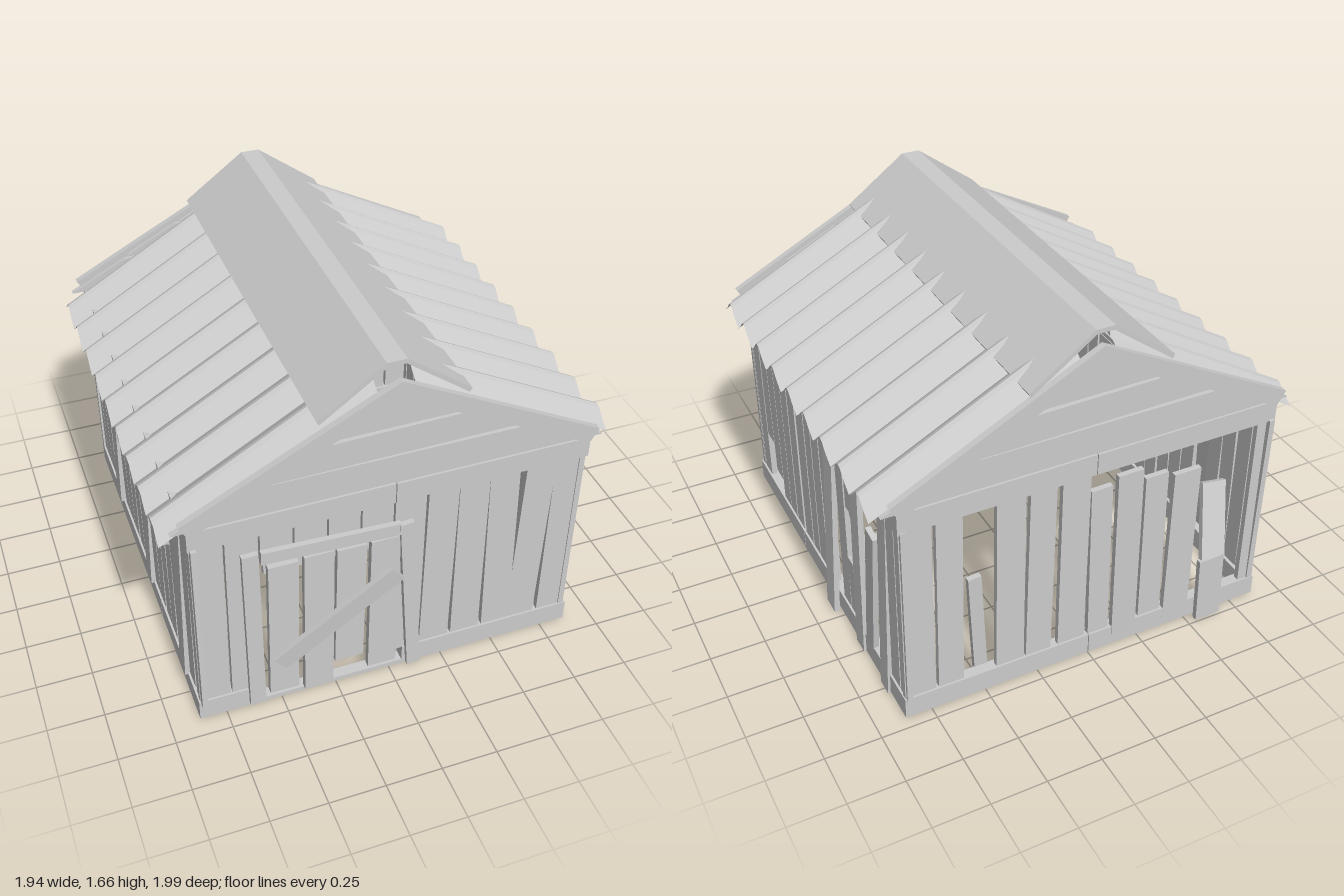
import * as THREE from 'three';

const grey = new THREE.MeshStandardMaterial({ color: 0xcccccc, flatShading: true });
const sheetGrey = new THREE.MeshStandardMaterial({ color: 0xcccccc, flatShading: true, side: THREE.DoubleSide });
const UP = new THREE.Vector3(0, 1, 0);

function add(parent, name, geometry, material = grey) {
  const mesh = new THREE.Mesh(geometry, material);
  mesh.name = name;
  parent.add(mesh);
  return mesh;
}

// Straight plank from a bottom point to a top point, both [along wall, height, outward]
function plank(parent, name, a, b, width, thick = 0.025) {
  const p = new THREE.Vector3(...a), q = new THREE.Vector3(...b);
  const dir = q.clone().sub(p);
  const mesh = add(parent, name, new THREE.BoxGeometry(width, dir.length(), thick));
  mesh.position.copy(p).add(q).multiplyScalar(0.5);
  mesh.quaternion.setFromUnitVectors(UP, dir.normalize());
  return mesh;
}

// Horizontal beam covering u0..u1 and y0..y1; its outer face is at n = 0
function beam(parent, name, u0, u1, y0, y1, thick = 0.05) {
  const mesh = add(parent, name, new THREE.BoxGeometry(u1 - u0, y1 - y0, thick));
  mesh.position.set((u0 + u1) / 2, (y0 + y1) / 2, -thick / 2);
}

// Wall frame: local x runs along the wall, local z points outward
function wall(root, name, angle, x, z) {
  const g = new THREE.Group();
  g.name = name;
  g.rotation.y = angle;
  g.position.set(x, 0, z);
  root.add(g);
  return g;
}

// Upright boards, each [bottom u, top u, bottom y, top y, width, bottom n, top n]
function boards(parent, list) {
  for (const [u0, u1, y0 = 0.11, y1 = 1, w = 0.09, n0 = -0.022, n1 = -0.022] of list)
    plank(parent, 'wallBoard', [u0, y0, n0], [u1, y1, n1], w);
}

// Gable: horizontal planks clipped to the roof slope, with two sloping trim boards
function gable(parent) {
  const half = y => (1.57 - y) / 0.522;
  for (const [y0, y1, tilt] of [[1.085, 1.225, 0], [1.235, 1.36, 0.008], [1.375, 1.55, 0.004]]) {
    const a = half(y0), b = half(y1);
    const s = new THREE.Shape([
      new THREE.Vector2(-a, y0 - tilt), new THREE.Vector2(a, y0 + tilt),
      new THREE.Vector2(b, y1 + tilt), new THREE.Vector2(-b, y1 - tilt)]);
    add(parent, 'gablePlank', new THREE.ExtrudeGeometry(s, { depth: 0.025, bevelEnabled: false })).position.z = -0.035;
  }
  for (const side of [-1, 1]) {
    const pts = [[0, 1.52], [0.86, 1.07], [0.9, 1.135], [0, 1.6]].map(([x, y]) => new THREE.Vector2(side * x, y));
    add(parent, 'gableTrim', new THREE.ExtrudeGeometry(new THREE.Shape(pts), { depth: 0.03, bevelEnabled: false })).position.z = -0.02;
  }
}

// Corrugated sheet on one slope, lofted between the ridge and eave waves
function roofSheet(root, side, slope, top) {
  const periods = 9, z0 = -0.92, pitch = 0.199;
  const wave = [[0, 0], [0.25, 0.45], [0.42, 0.9], [0.52, 1], [0.62, 0.88], [0.8, 0.4]];
  const pos = [], index = [];
  const row = (z, h) => {
    for (const x of [0.08, 0.97]) pos.push(side * x, top - slope * x - 0.075 * (1 - h), z);
  };
  for (let i = 0; i < periods; i++) for (const [u, h] of wave) row(z0 + (i + u) * pitch, h);
  row(z0 + periods * pitch, 0);
  for (let i = 0; i < periods * wave.length; i++) {
    const a = i * 2;
    if (side > 0) index.push(a, a + 2, a + 1, a + 1, a + 2, a + 3);
    else index.push(a, a + 1, a + 2, a + 1, a + 3, a + 2);
  }
  const g = new THREE.BufferGeometry();
  g.setAttribute('position', new THREE.Float32BufferAttribute(pos, 3));
  g.setIndex(index);
  g.computeVertexNormals();
  add(root, 'corrugatedRoof', g, sheetGrey);
}

export function createModel() {
  const root = new THREE.Group();
  root.name = 'shed';

  // Front wall with the doorway left open
  const front = wall(root, 'frontWall', 0, 0, 0.915);
  beam(front, 'baseBeam', -0.87, -0.6, 0.02, 0.12);
  beam(front, 'baseBeam', 0.06, 0.87, 0.02, 0.12);
  beam(front, 'threshold', -0.6, 0.06, 0.02, 0.042);
  beam(front, 'topBeam', -0.87, -0.002, 0.99, 1.09);
  beam(front, 'topBeam', 0.002, 0.87, 0.99, 1.088);
  const lean = [0, 0, 0, 0, 0, 0, 0, 0.003, -0.004, -0.012, 0.012, 0];
  boards(front, lean.map((l, i) => {
    const u = -0.795 + i * 0.1445, overDoor = i > 1 && i < 6;
    return [u - l, u + l, overDoor ? 0.84 : 0.11, 1, 0.136];
  }));
  gable(front);

  // Door: crooked frame, loose boards and a diagonal plank hanging off
  const door = new THREE.Group();
  door.name = 'door';
  front.add(door);
  plank(door, 'doorPost', [-0.613, 0.04, 0.008], [-0.625, 0.91, 0.008], 0.07);
  plank(door, 'doorPost', [0.11, 0.025, 0.008], [0.045, 0.88, 0.012], 0.062);
  plank(door, 'doorLintel', [-0.58, 0.88, 0.008], [0.02, 0.855, 0.008], 0.06);
  for (const [u0, u1, y0, y1, n] of [[-0.49, -0.485, 0.07, 0.81, 0], [-0.335, -0.335, 0.045, 0.83, 0.01],
    [-0.19, -0.185, 0.15, 0.8, -0.01], [-0.04, -0.04, 0.07, 0.81, 0]])
    plank(door, 'doorBoard', [u0, y0, n - 0.005], [u1, y1, n - 0.005], 0.13, 0.03);
  plank(door, 'doorBrace', [-0.51, 0.25, 0.012], [-0.01, 0.665, 0.066], 0.09, 0.025);
  plank(door, 'doorRail', [-0.56, 0.79, -0.035], [0.03, 0.79, -0.035], 0.07);

  // Back wall; u runs towards -x
  const back = wall(root, 'backWall', Math.PI, 0, -0.95);
  beam(back, 'baseBeam', -0.87, -0.002, 0.02, 0.12);
  beam(back, 'baseBeam', 0.002, 0.87, 0.02, 0.118);
  beam(back, 'topBeam', -0.87, -0.002, 0.99, 1.09);
  beam(back, 'topBeam', 0.002, 0.87, 0.99, 1.088);
  boards(back, [
    [-0.795, -0.795, 0.11, 1, 0.14], [-0.655, -0.65, 0.11, 1, 0.115], [-0.5, -0.53, 0.11, 0.62, 0.06, -0.06, -0.05],
    [-0.38, -0.38, 0.11, 1, 0.13], [-0.245, -0.235, 0.11, 1, 0.12], [-0.085, -0.085, 0.11, 1, 0.13],
    [0.05, 0.035, 0.1, 0.9, 0.1], [0.175, 0.16, 0.07, 0.95, 0.12, -0.01, -0.005], [0.31, 0.3, 0.1, 0.88, 0.11],
    [0.445, 0.445, 0.06, 0.86, 0.13, -0.012, -0.01], [0.83, 0.83, 0.11, 1, 0.08]]);
  plank(back, 'brokenPlankLower', [0.6, 0.02, 0.03], [0.59, 0.36, 0.03], 0.125);
  plank(back, 'brokenPlankUpper', [0.6, 0.35, 0.025], [0.65, 0.68, -0.09], 0.12);
  gable(back);

  // Side walls share their beams; z = u * sign
  const sides = [wall(root, 'leftWall', Math.PI / 2, 0.87, 0), wall(root, 'rightWall', -Math.PI / 2, -0.87, 0)];
  sides.forEach((g, i) => {
    const s = i ? 1 : -1;
    for (const [z0, z1] of [[-0.945, 0.268], [0.272, 0.91]]) {
      const u0 = Math.min(s * z0, s * z1), u1 = Math.max(s * z0, s * z1);
      beam(g, 'baseBeam', u0, u1, 0.02, 0.12);
      beam(g, 'topBeam', u0, u1, 0.99, 1.09);
    }
  });

  // Left wall (+x): sound boards at the front, broken ones to the rear
  const left = sides[0];
  boards(left, [
    [-0.89, -0.89, 0.11, 1, 0.04], [-0.82, -0.82], [-0.72, -0.72, 0.38], [-0.625, -0.625, 0.22], [-0.53, -0.53], [-0.435, -0.435],
    [-0.335, -0.335], [-0.215, -0.215, 0.11, 1, 0.1], [-0.115, -0.115, 0.11, 1, 0.08], [-0.02, -0.02, 0.11, 0.86, 0.095],
    [0.085, 0.085, 0.11, 1, 0.095], [0.18, 0.18, 0.03, 0.89, 0.095, 0.028, -0.012], [0.28, 0.28, 0.11, 1, 0.085],
    [0.39, 0.39, 0.7, 1, 0.1], [0.39, 0.35, 0.41, 0.75, 0.08, -0.07, -0.03], [0.36, 0.35, 0.11, 0.41, 0.06],
    [0.47, 0.455, 0.02, 1, 0.085, 0, -0.022], [0.57, 0.67, 0.12, 0.8, 0.08, -0.01, 0], [0.7, 0.64, 0.11, 0.74, 0.08, -0.05, -0.04],
    [0.745, 0.765, 0.015, 0.99, 0.08, 0, -0.02], [0.83, 0.835], [0.92, 0.92, 0.11, 1, 0.07]]);

  // Right wall (-x): boards are cut short below the window
  const right = sides[1];
  const rightBoards = [];
  for (let i = 0; i < 19; i++) {
    const z = -0.91 + i * 0.1, window = z > -0.22 && z < 0.5, l = ((i * 7) % 5 - 2) * 0.004;
    rightBoards.push([z - l, z + l, 0.11, window ? 0.69 : 1, 0.09, i % 6 === 4 ? 0 : -0.022]);
  }
  boards(right, rightBoards);
  const frame = new THREE.Group();
  frame.name = 'window';
  right.add(frame);
  plank(frame, 'windowSill', [-0.25, 0.7, 0], [0.52, 0.7, 0], 0.025, 0.06);
  plank(frame, 'windowHead', [-0.24, 0.965, -0.02], [0.51, 0.965, -0.02], 0.05, 0.035);
  for (const u of [-0.235, 0.505]) plank(frame, 'windowJamb', [u, 0.7, -0.015], [u, 0.97, -0.015], 0.03, 0.035);
  [-0.09, 0.06, 0.21, 0.36].forEach((u, i) =>
    plank(frame, 'windowBar', [u, 0.7, -0.015], [u + (i % 2 ? 0.02 : -0.01), 0.97, -0.015], 0.014, 0.014));
  plank(frame, 'windowCrossbar', [-0.23, 0.83, -0.015], [0.5, 0.84, -0.015], 0.014, 0.014);

  // Roof sheets and the folded ridge cap
  roofSheet(root, 1, 0.523, 1.648);
  roofSheet(root, -1, 0.585, 1.655);
  const profile = [[-0.33, 1.465], [-0.05, 1.67], [0.035, 1.67], [0.315, 1.465], [0.305, 1.447], [0.03, 1.65], [-0.045, 1.65], [-0.32, 1.447]];
  const cap = add(root, 'ridgeCap', new THREE.ExtrudeGeometry(
    new THREE.Shape(profile.map(p => new THREE.Vector2(...p))), { depth: 1.83, bevelEnabled: false }));
  cap.position.z = -0.945;

  return root;
}
